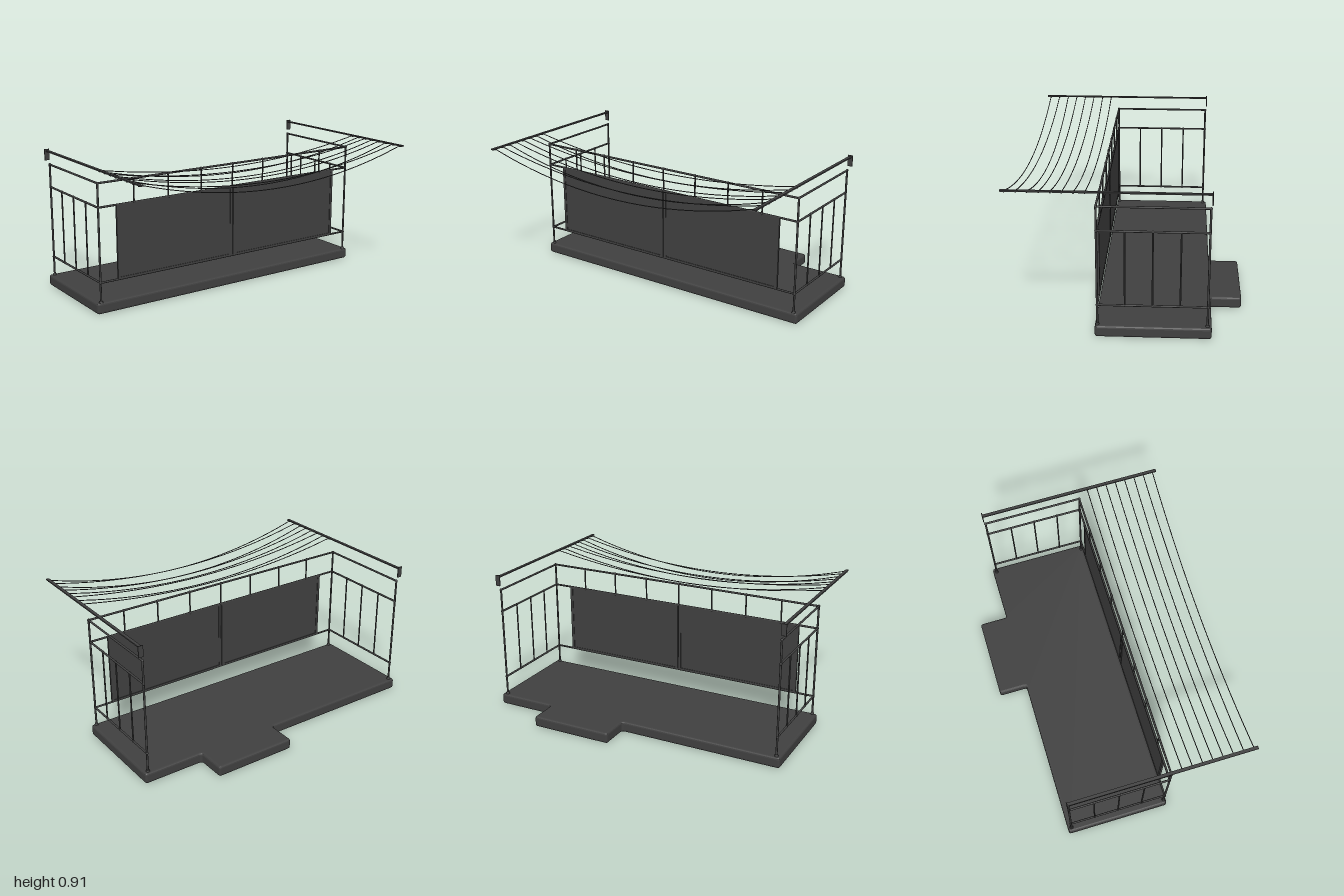
import * as THREE from 'three';

const metal = new THREE.MeshStandardMaterial({ color: 0x404040 });
metal.name = 'dark grey metal';

const V = (x, y, z) => new THREE.Vector3(x, y, z);

function add(parent, name, geometry, x = 0, y = 0, z = 0) {
  const mesh = new THREE.Mesh(geometry, metal);
  mesh.name = name;
  mesh.position.set(x, y, z);
  parent.add(mesh);
  return mesh;
}

function box(parent, name, w, h, d, x, y, z) {
  return add(parent, name, new THREE.BoxGeometry(w, h, d), x, y, z);
}

// Round bar between two points
function bar(parent, name, a, b, r = 0.0065) {
  const dir = b.clone().sub(a);
  const mesh = add(parent, name, new THREE.CylinderGeometry(r, r, dir.length(), 10));
  mesh.position.copy(a).add(b).multiplyScalar(0.5);
  mesh.quaternion.setFromUnitVectors(V(0, 1, 0), dir.normalize());
  return mesh;
}

// Rounded weld where bars meet
function joint(parent, x, y, z, r = 0.009) {
  add(parent, 'weldJoint', new THREE.SphereGeometry(r, 10, 8), x, y, z);
}

function namedGroup(parent, name) {
  const g = new THREE.Group();
  g.name = name;
  parent.add(g);
  return g;
}

const SIDE = 0.97, FRONT = 0.16, BACK = -0.48;
const FLOOR = 0.068, LOW = 0.195, MID = 0.66, TOP = 0.807;

function buildSlab(parent) {
  // Outline with the rear doorstep, in x and -z
  const outline = [[-1, -0.175], [1, -0.175], [1, 0.505], [0.605, 0.505],
    [0.605, 0.695], [0.065, 0.695], [0.065, 0.505], [-1, 0.505]]
    .map(([x, y]) => new THREE.Vector2(x, y));
  const n = outline.length, c = 0.018;
  const shape = new THREE.Shape();
  // Round every corner
  outline.forEach((p, i) => {
    const toward = (q) => q.clone().sub(p).setLength(c).add(p);
    const a = toward(outline[(i + n - 1) % n]), b = toward(outline[(i + 1) % n]);
    if (i === 0) shape.moveTo(a.x, a.y); else shape.lineTo(a.x, a.y);
    shape.quadraticCurveTo(p.x, p.y, b.x, b.y);
  });
  shape.closePath();
  const bevel = 0.014;
  const geometry = new THREE.ExtrudeGeometry(shape, {
    depth: 0.07 - 2 * bevel, bevelThickness: bevel, bevelSize: bevel,
    bevelOffset: -bevel, bevelSegments: 3, curveSegments: 4,
  });
  geometry.rotateX(-Math.PI / 2);
  add(parent, 'floorSlab', geometry, 0, bevel, 0);
}

function buildRailing(parent) {
  const railing = namedGroup(parent, 'railing');
  // Front rails and short upper balusters
  for (const y of [LOW, MID, TOP]) {
    bar(railing, 'frontRail', V(-SIDE, y, FRONT), V(SIDE, y, FRONT));
  }
  for (let i = -3; i <= 3; i++) {
    const x = i * SIDE / 4;
    bar(railing, 'upperBaluster', V(x, MID, FRONT), V(x, TOP, FRONT), 0.005);
    joint(railing, x, MID, FRONT);
    joint(railing, x, TOP, FRONT);
  }
  // Matching sides
  for (const s of [-1, 1]) {
    const x = s * SIDE;
    for (const z of [FRONT, BACK]) {
      bar(railing, 'post', V(x, FLOOR, z), V(x, TOP, z));
      add(railing, 'postFoot', new THREE.CylinderGeometry(0.009, 0.013, 0.012, 12), x, 0.075, z);
      for (const y of [LOW, MID, TOP]) joint(railing, x, y, z);
    }
    for (const y of [LOW, MID, TOP]) {
      bar(railing, 'sideRail', V(x, y, FRONT), V(x, y, BACK));
    }
    for (let i = 1; i <= 3; i++) {
      const z = FRONT + (BACK - FRONT) * i / 4;
      bar(railing, 'sideBaluster', V(x, LOW, z), V(x, MID, z), 0.005);
      joint(railing, x, LOW, z, 0.008);
      joint(railing, x, MID, z, 0.008);
    }
  }
}

function buildPanels(parent) {
  const w = 0.848, h = MID - LOW, t = 0.018, cy = (MID + LOW) / 2;
  for (const s of [-1, 1]) {
    const panel = namedGroup(parent, s > 0 ? 'leftPanel' : 'rightPanel');
    panel.position.set(s * (w / 2 + 0.003), cy, FRONT);
    box(panel, 'panelSheet', w - t, h - t, 0.006, 0, 0, 0);
    for (const k of [-1, 1]) {
      box(panel, 'panelStile', t, h, 0.013, k * (w - t) / 2, 0, 0);
      box(panel, 'panelEdge', w, 0.013, 0.013, 0, k * (h - 0.013) / 2, 0);
    }
  }
}

function buildClothesline(parent) {
  const dryer = namedGroup(parent, 'clothesline');
  const armY = 0.895, armX = 0.98;
  for (const s of [-1, 1]) {
    box(dryer, 'supportArm', 0.02, 0.008, 1.18, s * armX, armY, 0.1);
    box(dryer, 'wallPlate', 0.032, 0.072, 0.006, s * 0.983, 0.871, -0.488);
  }
  // Sagging lines, each tied to both arms
  const lows = [0.802, 0.778, 0.802, 0.778, 0.778, 0.748, 0.778, 0.748];
  lows.forEach((low, i) => {
    const z = 0.217 + i * 0.064;
    const points = [];
    for (let k = -6; k <= 6; k++) {
      const u = k / 6;
      points.push(V(u * armX, low + (armY - low) * u * u, z));
    }
    const curve = new THREE.CatmullRomCurve3(points);
    add(dryer, 'line', new THREE.TubeGeometry(curve, 36, 0.0028, 6));
    for (const s of [-1, 1]) {
      const knot = add(dryer, 'lineKnot', new THREE.SphereGeometry(0.008, 8, 6), s * armX, armY - 0.003, z);
      knot.scale.set(1.3, 1, 0.8);
    }
  });
}

export function createModel() {
  const model = new THREE.Group();
  model.name = 'balcony';
  buildSlab(model);
  buildRailing(model);
  buildPanels(model);
  buildClothesline(model);
  return model;
}
